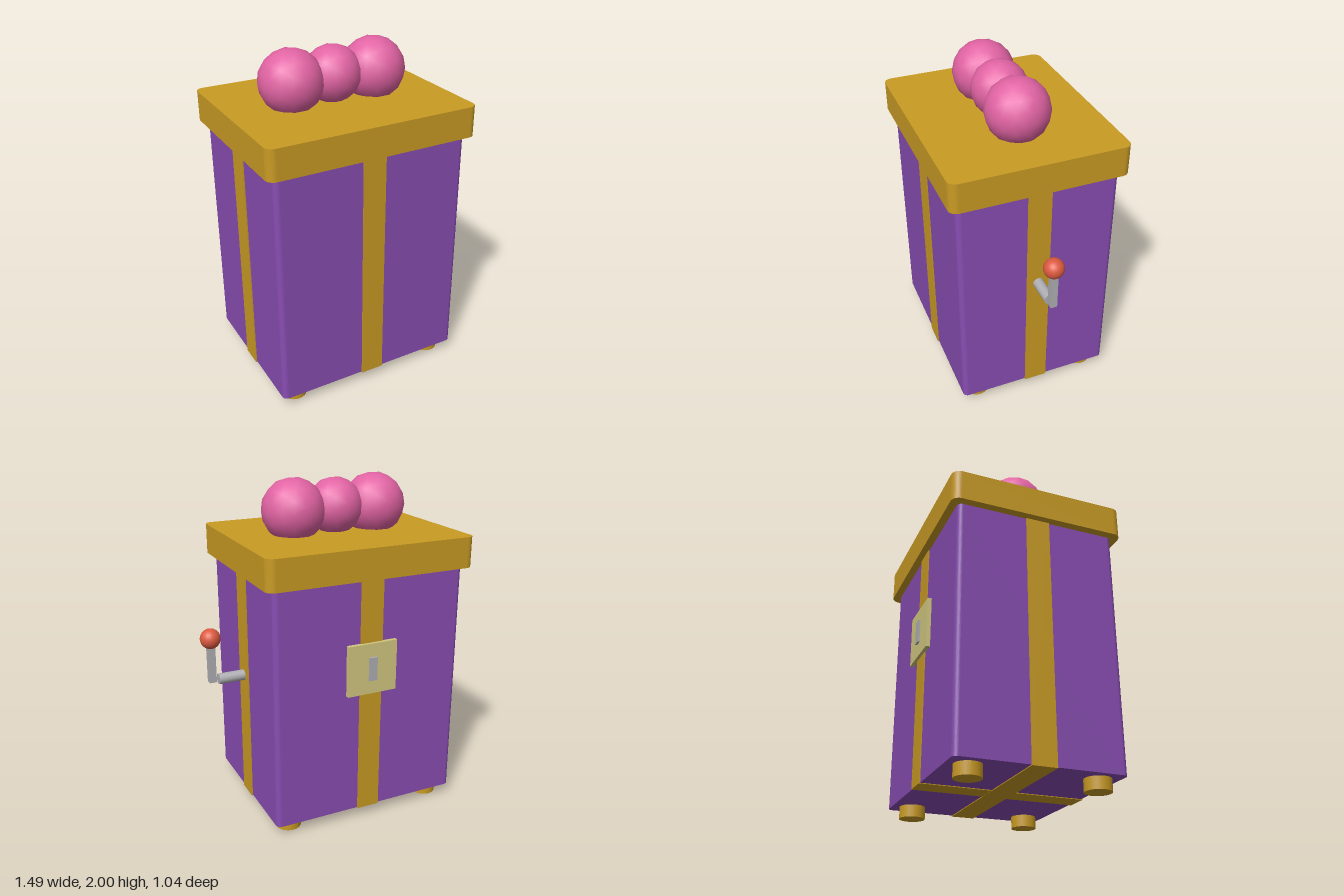
import * as THREE from 'three';

const CX = -0.11; // box centre in x, offset to leave room for the crank

function mat(name, color, extra = {}) {
  const m = new THREE.MeshStandardMaterial({ color, ...extra });
  m.name = name;
  return m;
}

// Upright block with rounded vertical corners, standing on y = 0
function roundedBlock(w, h, d, r) {
  const x = w / 2, y = d / 2, s = new THREE.Shape();
  s.moveTo(-x + r, -y);
  s.lineTo(x - r, -y);
  s.absarc(x - r, -y + r, r, -Math.PI / 2, 0);
  s.lineTo(x, y - r);
  s.absarc(x - r, y - r, r, 0, Math.PI / 2);
  s.lineTo(-x + r, y);
  s.absarc(-x + r, y - r, r, Math.PI / 2, Math.PI);
  s.lineTo(-x, -y + r);
  s.absarc(-x + r, -y + r, r, Math.PI, Math.PI * 1.5);
  return new THREE.ExtrudeGeometry(s, { depth: h, bevelEnabled: false, curveSegments: 6 }).rotateX(-Math.PI / 2);
}

export function createModel() {
  const purple = mat('purple', 0x884db2);
  const gold = mat('gold', 0xc99b24);
  const pink = mat('pink', 0xe264a4);
  const red = mat('red', 0xdc5a40);
  const grey = mat('grey', 0xb0b0b4);
  const brass = mat('paleBrass', 0xd2c880);

  const model = new THREE.Group();
  model.name = 'giftBox';
  const add = (name, geometry, material, x, y, z, parent = model) => {
    const mesh = new THREE.Mesh(geometry, material);
    mesh.name = name;
    mesh.position.set(x, y, z);
    parent.add(mesh);
    return mesh;
  };

  // Body and lid
  add('body', roundedBlock(1.18, 1.43, 0.95, 0.03), purple, CX, 0.07, 0);
  add('lid', roundedBlock(1.275, 0.18, 1.04, 0.05), gold, CX, 1.5, 0);

  // Ribbons wrapping the sides and crossing underneath
  add('ribbonFrontBack', new THREE.BoxGeometry(0.14, 1.434, 0.964), gold, CX, 0.783, 0);
  add('ribbonSides', new THREE.BoxGeometry(1.194, 1.435, 0.14), gold, CX, 0.7825, 0);

  // Four feet
  const foot = new THREE.CylinderGeometry(0.075, 0.075, 0.075, 24);
  for (const sx of [-1, 1]) for (const sz of [-1, 1])
    add('foot', foot, gold, CX + sx * 0.474, 0.0375, sz * 0.357);

  // Bow made of three balls
  const bow = new THREE.Group();
  bow.name = 'bow';
  model.add(bow);
  add('bowRight', new THREE.IcosahedronGeometry(0.187, 2), pink, -0.367, 1.815, 0, bow);
  add('bowKnot', new THREE.IcosahedronGeometry(0.167, 2), pink, CX, 1.822, 0, bow);
  add('bowLeft', new THREE.IcosahedronGeometry(0.187, 2), pink, 0.154, 1.815, 0, bow);

  // Crank on the left side
  const crank = new THREE.Group();
  crank.name = 'crank';
  model.add(crank);
  const axle = new THREE.CylinderGeometry(0.032, 0.032, 0.18, 16).rotateZ(Math.PI / 2);
  add('axle', axle, grey, 0.555, 0.857, 0, crank);
  add('arm', new THREE.BoxGeometry(0.043, 0.24, 0.04), grey, 0.683, 0.967, 0, crank);
  add('knob', new THREE.SphereGeometry(0.06, 20, 14), red, 0.683, 1.115, 0, crank);

  // Lock plate with keyhole insert on the back
  const lock = new THREE.Group();
  lock.name = 'lock';
  model.add(lock);
  add('lockPlate', new THREE.BoxGeometry(0.31, 0.305, 0.025), brass, CX, 0.975, -0.487, lock);
  add('keyhole', new THREE.BoxGeometry(0.05, 0.14, 0.02), grey, CX, 0.975, -0.501, lock);

  return model;
}
